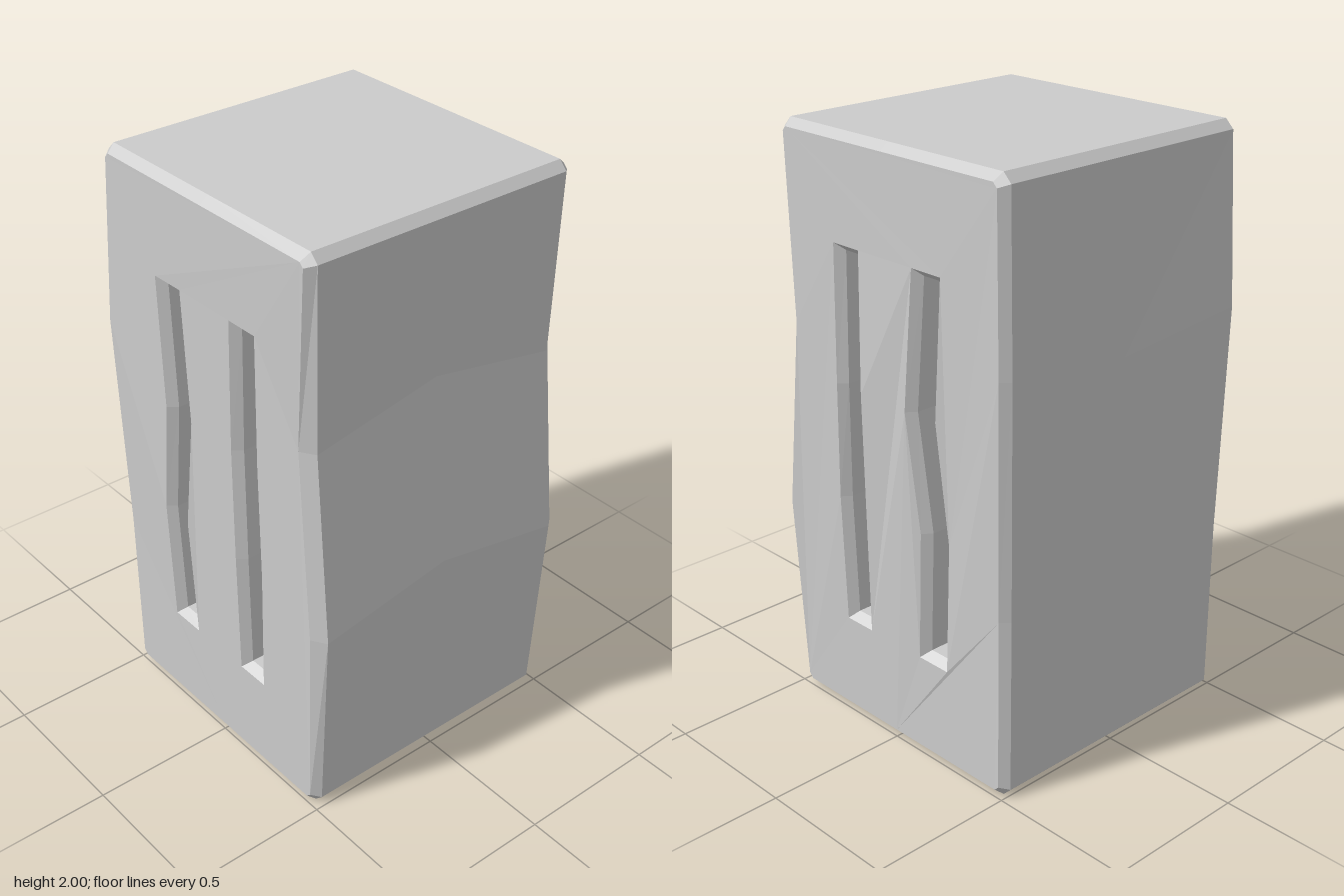
import * as THREE from 'three';

const points = (list) => list.map(([x, y]) => new THREE.Vector2(x, y));

// Slot contour from rows of [y, left x, right x]
const slot = (rows) => new THREE.Path(points([
  ...rows.map(([y, l]) => [l, y]),
  ...rows.slice().reverse().map(([y, , r]) => [r, y]),
]));

// Shallow dents and bulges of the front (+1) and back (-1): [x, y, side, amount]
const bumps = [
  [-0.5, 1.35, 1, 0.02], [-0.1, 0.75, 1, 0.012], [0.45, 1.35, 1, -0.015],
  [0.05, 1.25, -1, 0.024], [0.48, 0.7, -1, 0.012], [-0.45, 0.7, -1, -0.012],
];

// Hand-carved unevenness
function carve(geometry) {
  const p = geometry.attributes.position;
  for (let i = 0; i < p.count; i++) {
    let x = p.getX(i), y = p.getY(i), z = p.getZ(i);
    const middle = Math.abs(z) < 0.1, outer = Math.abs(x) > 0.38;
    const row = y > 0.5 && y < 1.6;
    if (!middle) {
      const side = Math.sign(z);
      for (const [bx, by, s, amount] of bumps) {
        if (s === side) z += side * amount * Math.exp(-((x - bx) ** 2 + (y - by) ** 2) / 0.08);
      }
    }
    if (outer && row) {
      if (middle) {
        // middle of the side faces
        y += x > 0 ? 0.09 : -0.05;
        x += x > 0 ? 0.004 : 0.015;
      } else if (z > 0.48 && x > 0) {
        x -= 0.025; // wider chamfer on the front left edge
      } else if (z < 0 && x < 0) {
        x += 0.012;
      }
    }
    p.setXYZ(i, x, y, z);
  }
  geometry.computeVertexNormals();
  return geometry;
}

export function createModel() {
  const group = new THREE.Group();
  group.name = 'slottedStonePillar';

  // Wavering outline with clipped corners
  const outline = new THREE.Shape(points([
    [-0.48, 0], [0, 0], [0.46, 0], [0.49, 0.03], [0.525, 0.7], [0.462, 1.35],
    [0.488, 1.97], [0.46, 2], [0, 2], [-0.48, 2], [-0.51, 1.97],
    [-0.528, 1.4], [-0.515, 0.62], [-0.51, 0.03],
  ]));

  // Two crooked slots cut right through
  outline.holes.push(
    slot([[1.63, -0.225, -0.15], [1.2, -0.203, -0.125], [0.8, -0.24, -0.165], [0.38, -0.228, -0.15]]),
    slot([[1.63, 0.138, 0.208], [1.2, 0.125, 0.2], [0.8, 0.138, 0.218], [0.38, 0.138, 0.208]]),
  );

  const geometry = new THREE.ExtrudeGeometry(outline, {
    depth: 0.94, steps: 2, bevelEnabled: true, bevelSegments: 1,
    bevelThickness: 0.03, bevelSize: 0.025, bevelOffset: -0.025,
  });
  geometry.translate(0, 0, -0.47);

  const pillar = new THREE.Mesh(
    carve(geometry),
    new THREE.MeshStandardMaterial({ color: 0xcccccc, flatShading: true }),
  );
  pillar.name = 'pillarBlock';
  group.add(pillar);
  return group;
}
